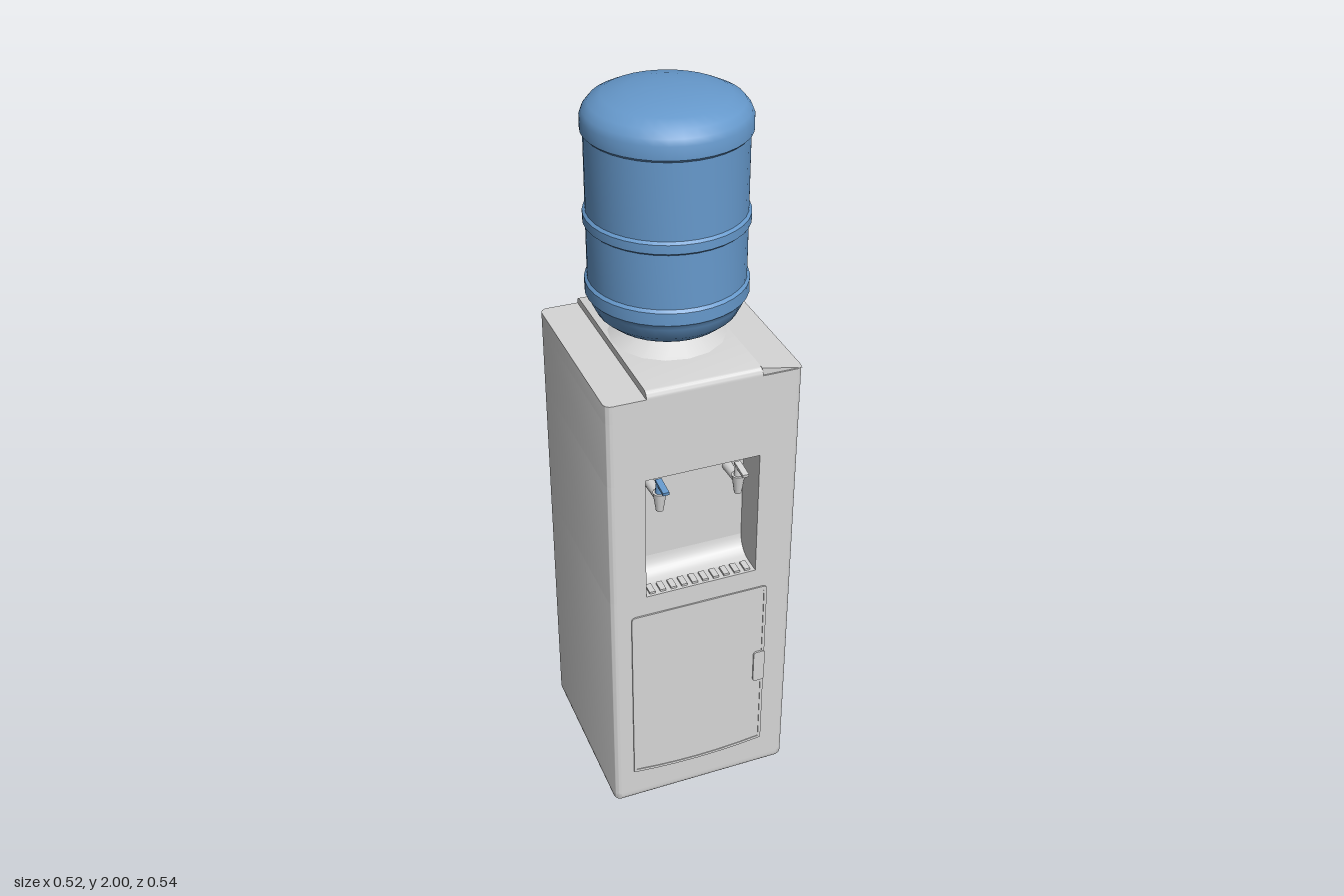
import * as THREE from 'three';
import { toCreasedNormals, mergeGeometries } from 'three/addons/utils/BufferGeometryUtils.js';

const HALF = 0.26, FRONT = 0.25, BACK = -0.27, BOTTLE_Z = -0.013;

export function createModel() {
  const model = new THREE.Group();
  model.name = 'waterDispenser';
  const grey = new THREE.MeshStandardMaterial({ color: 0xd6d6d6 });
  grey.name = 'light grey plastic';
  const blue = new THREE.MeshStandardMaterial({ color: 0x6699cc });
  blue.name = 'bottle blue';

  const add = (name, geometry, material = grey, parent = model) => {
    const mesh = new THREE.Mesh(geometry, material);
    mesh.name = name;
    parent.add(mesh);
    return mesh;
  };
  const polygon = (points) => new THREE.Shape(points.map(([x, y]) => new THREE.Vector2(x, y)));
  const extrude = (shape, depth, options = {}) => toCreasedNormals(
    new THREE.ExtrudeGeometry(shape, { depth, bevelEnabled: false, curveSegments: 6, ...options }), 0.6);
  // Extrusions of a plan (x, -z), a side profile (-z, y) and a front outline (x, y)
  const alongY = (shape, y0, y1) => extrude(shape, y1 - y0).rotateX(-Math.PI / 2).translate(0, y0, 0);
  const alongX = (shape, x0, x1) => extrude(shape, x1 - x0).rotateY(Math.PI / 2).translate(x0, 0, 0);
  const alongZ = (shape, z0, z1) => extrude(shape, z1 - z0).translate(0, 0, z0);

  function roundedRect(x0, y0, x1, y1, r, Type = THREE.Shape) {
    const s = new Type();
    s.absarc(x1 - r, y0 + r, r, -Math.PI / 2, 0);
    s.absarc(x1 - r, y1 - r, r, 0, Math.PI / 2);
    s.absarc(x0 + r, y1 - r, r, Math.PI / 2, Math.PI);
    s.absarc(x0 + r, y0 + r, r, Math.PI, Math.PI * 1.5);
    s.closePath();
    return s;
  }

  // Cabinet plan with optional notches in the front and in the left side
  function plan({ niche = false, sideSlot = false } = {}) {
    const r = 0.02, f = -FRONT, b = -BACK;
    const s = new THREE.Shape();
    s.moveTo(-HALF + r, f);
    if (niche) [[-0.16, f], [-0.16, f + 0.1], [0.15, f + 0.1], [0.15, f]].forEach(([x, y]) => s.lineTo(x, y));
    s.absarc(HALF - r, f + r, r, -Math.PI / 2, 0);
    if (sideSlot) [[HALF, -0.23], [0.16, -0.23], [0.16, 0.24], [HALF, 0.24]].forEach(([x, y]) => s.lineTo(x, y));
    s.absarc(HALF - r, b - r, r, 0, Math.PI / 2);
    s.absarc(-HALF + r, b - r, r, Math.PI / 2, Math.PI);
    s.absarc(-HALF + r, f + r, r, Math.PI, Math.PI * 1.5);
    return s;
  }

  // Cabinet, stacked in layers around the niche and the side slot
  const base = extrude(plan(), 0.02, {
    bevelEnabled: true, bevelThickness: 0.02, bevelSize: 0.018, bevelOffset: -0.018, bevelSegments: 4,
  }).rotateX(-Math.PI / 2).translate(0, 0.02, 0);
  add('cabinetBase', base);
  add('cabinetLower', alongY(plan(), 0.03, 0.73));
  add('cabinetMiddle', alongY(plan({ niche: true }), 0.73, 1.1));
  add('cabinetUpper', alongY(plan(), 1.1, 1.285));
  add('cabinetRim', alongY(plan({ sideSlot: true }), 1.285, 1.33));
  add('cabinetTop', alongY(plan(), 1.33, 1.335));
  add('sideSlotWedge', alongX(polygon([[-0.23, 1.331], [0.24, 1.285], [0.24, 1.331]]), 0.17, 0.259));

  // Raised lid with rounded front and back, sloping off to one side
  const lid = new THREE.Shape();
  lid.moveTo(-FRONT, 1.32);
  lid.lineTo(-BACK, 1.32);
  lid.lineTo(-BACK, 1.337);
  lid.quadraticCurveTo(-BACK, 1.355, -BACK - 0.02, 1.355);
  lid.lineTo(-FRONT + 0.02, 1.355);
  lid.quadraticCurveTo(-FRONT, 1.355, -FRONT, 1.337);
  add('lid', alongX(lid, -0.155, 0.15));
  add('lidSlope', alongZ(polygon([[0.149, 1.334], [0.258, 1.334], [0.149, 1.355]]), BACK + 0.004, FRONT - 0.004));

  // Bottle seat
  const seat = new THREE.CylinderGeometry(0.07, 0.152, 0.05, 16);
  add('bottleSeat', toCreasedNormals(seat, 0.3)).position.set(0, 1.38, BOTTLE_Z);

  // Bottle with three raised hoops
  const profile = [
    [0, 1.4], [0.125, 1.4], [0.155, 1.41], [0.18, 1.432], [0.196, 1.465], [0.2, 1.475],
    [0.206, 1.482], [0.206, 1.515], [0.199, 1.522], [0.199, 1.665],
    [0.206, 1.671], [0.206, 1.694], [0.199, 1.7], [0.199, 1.895],
    [0.206, 1.902], [0.206, 1.935], [0.2, 1.95], [0.186, 1.967],
    [0.155, 1.982], [0.1, 1.994], [0.05, 1.999], [0, 2],
  ].map(([x, y]) => new THREE.Vector2(x, y));
  add('bottle', toCreasedNormals(new THREE.LatheGeometry(profile, 36), 0.65), blue).position.z = BOTTLE_Z;

  // Curved foot of the niche back wall
  const cove = new THREE.Shape();
  cove.moveTo(-0.149, 0.73);
  cove.lineTo(-0.149, 0.79);
  cove.quadraticCurveTo(-0.152, 0.735, -0.2, 0.73);
  add('nicheCove', alongX(cove, -0.16, 0.15));

  // Drip grille
  const bars = [];
  for (let i = 0; i < 10; i++) {
    bars.push(new THREE.BoxGeometry(0.016, 0.006, 0.035).translate(-0.14 + i * 0.03, 0.733, 0.225));
  }
  add('dripGrille', mergeGeometries(bars));

  // Door with a bowed lower edge, a rim and a handle
  function doorOutline(inset, Type = THREE.Shape) {
    const x0 = -0.203 + inset, x1 = 0.185 - inset, y0 = 0.106 + inset, y1 = 0.67 - inset, r = 0.012;
    const s = new Type();
    s.moveTo(x0, y0);
    s.quadraticCurveTo((x0 + x1) / 2, y0 - 0.024, x1, y0);
    s.lineTo(x1, y1 - r);
    s.quadraticCurveTo(x1, y1, x1 - r, y1);
    s.lineTo(x0 + r, y1);
    s.quadraticCurveTo(x0, y1, x0, y1 - r);
    s.closePath();
    return s;
  }
  const rim = doorOutline(0);
  rim.holes.push(doorOutline(0.008, THREE.Path));
  add('doorRim', alongZ(rim, 0.249, 0.254));
  add('doorPanel', alongZ(doorOutline(0.006), 0.249, 0.252));
  add('doorHandle', alongZ(roundedRect(0.153, 0.335, 0.186, 0.44, 0.008), 0.25, 0.257));

  // Taps: barrel from the back wall, tapered spout and a lever on top
  function tap(name, x, leverMaterial) {
    const group = new THREE.Group();
    group.name = name;
    group.position.x = x;
    model.add(group);
    add('barrel', new THREE.CylinderGeometry(0.012, 0.014, 0.075, 12).rotateX(Math.PI / 2), grey, group)
      .position.set(0, 1.018, 0.185);
    add('spout', new THREE.CylinderGeometry(0.018, 0.01, 0.055, 12), grey, group).position.set(0, 1.008, 0.222);
    add('leverStem', new THREE.CylinderGeometry(0.009, 0.012, 0.03, 12), leverMaterial, group)
      .position.set(0, 1.048, 0.222);
    const lever = add('lever', new THREE.BoxGeometry(0.017, 0.009, 0.056), leverMaterial, group);
    lever.position.set(0, 1.063, 0.241);
    lever.rotation.x = 0.12;
  }
  tap('coldTap', -0.112, blue);
  tap('hotTap', 0.104, grey);

  return model;
}
